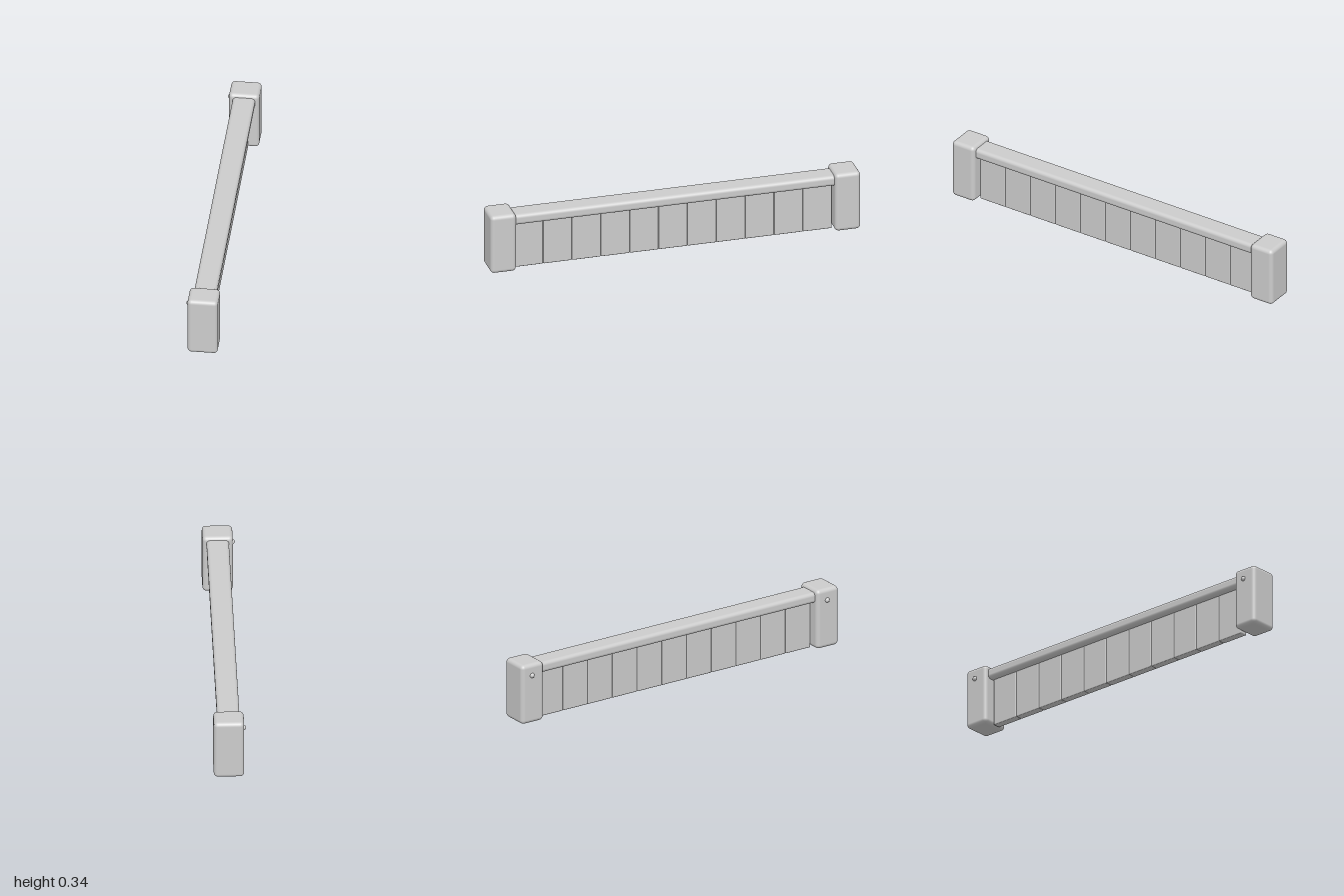
import * as THREE from 'three';
import { RoundedBoxGeometry } from 'three/addons/geometries/RoundedBoxGeometry.js';

const ANGLE = 0.35;     // turn of the whole fence about the vertical
const POST_Z = 0.969;   // post distance from the centre, along the fence
const PLANKS = 11;
const PITCH = 0.1625;

export function createModel() {
  const grey = new THREE.MeshStandardMaterial({ color: 0xcccccc });
  grey.name = 'light grey';

  const model = new THREE.Group();
  model.name = 'fence';
  const add = (name, geometry, x, y, z) => {
    const mesh = new THREE.Mesh(geometry, grey);
    mesh.name = name;
    mesh.position.set(x, y, z);
    model.add(mesh);
    return mesh;
  };

  // End posts, each with a domed bolt on one side
  const post = new RoundedBoxGeometry(0.165, 0.342, 0.144, 4, 0.022);
  const bolt = new THREE.SphereGeometry(0.014, 16, 10);
  for (const [side, label] of [[1, 'front'], [-1, 'back']]) {
    add(label + 'Post', post, 0, 0.174, side * POST_Z);
    add(label + 'Bolt', bolt, -0.081, 0.28, side * POST_Z - 0.006);
  }

  // Top rail with rounded edges, running into both posts
  add('topRail', new RoundedBoxGeometry(0.122, 0.06, 1.86, 4, 0.02), 0, 0.298, 0);

  // Row of upright planks with eased edges
  const plank = new RoundedBoxGeometry(0.046, 0.275, PITCH - 0.001, 2, 0.005);
  for (let i = 0; i < PLANKS; i++) {
    add('plank' + (i + 1), plank, 0, 0.1375, (i - (PLANKS - 1) / 2) * PITCH);
  }

  model.rotation.y = ANGLE;
  const root = new THREE.Group();
  root.name = 'plankFence';
  root.add(model);
  return root;
}
